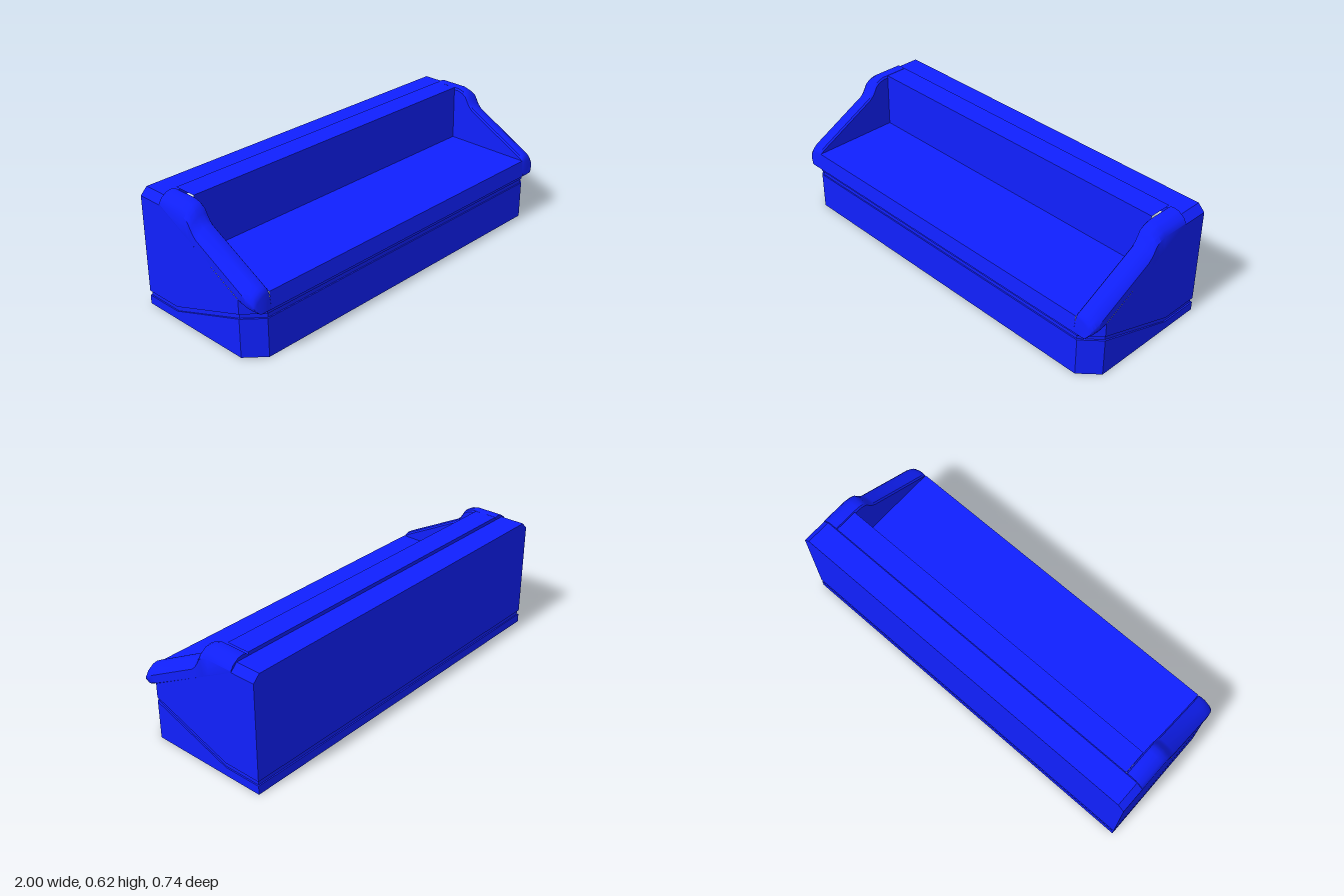
import * as THREE from 'three';
import { toCreasedNormals } from 'three/addons/utils/BufferGeometryUtils.js';

const material = new THREE.MeshStandardMaterial({ color: 0x1020ff });

// Skin a series of equal-length closed rings; rings run counterclockwise about the travel direction
function loft(rings, capStart, capEnd, crease) {
  const n = rings[0].length;
  const index = [];
  for (let i = 0; i < rings.length - 1; i++) {
    for (let j = 0; j < n; j++) {
      const k = (j + 1) % n;
      const a = i * n + j, b = i * n + k, c = b + n, d = a + n;
      index.push(a, b, c, a, c, d);
    }
  }
  const last = (rings.length - 1) * n;
  for (let j = 1; j < n - 1; j++) {
    if (capStart) index.push(0, j + 1, j);
    if (capEnd) index.push(last, last + j, last + j + 1);
  }
  const geometry = new THREE.BufferGeometry();
  geometry.setAttribute('position', new THREE.Float32BufferAttribute(rings.flat(2), 3));
  geometry.setIndex(index);
  return toCreasedNormals(geometry, crease);
}

function addPart(group, name, geometry) {
  const mesh = new THREE.Mesh(geometry, material);
  mesh.name = name;
  group.add(mesh);
}

// Body: footprint with chamfered front corners, cut by a groove that slopes down toward the back
function bodyGeometry() {
  // x, z, groove bottom height, top height
  const half = [
    [0.91, 0.356, 0.198, 0.285],
    [1, 0.272, 0.198, 0.296],
    [1, -0.165, 0.045, 0.528],
    [1, -0.235, 0.045, 0.565],
    [1, -0.367, 0.045, 0.565],
  ];
  const outline = [...half, ...half.map(([x, ...r]) => [-x, ...r]).reverse()];
  const ring = (height, inset) => outline.map((p) =>
    inset ? [p[0] * 0.993, height(p), p[1] * 0.982] : [p[0], height(p), p[1]]);
  const low = (p) => p[2];
  const high = (p) => p[2] + 0.024;
  return loft([
    ring(() => 0, false), ring(low, false), ring(low, true),
    ring(high, true), ring(high, false), ring((p) => p[3], false),
  ], true, false, 0.1);
}

// Rim stations along one side: z, lower edge, top edge, outer x, x of the underside edge
const rimStations = [
  [-0.235, 0.565, 0.62, 1, 1],
  [-0.09, 0.488, 0.62, 1, 1],
  [-0.06, 0.472, 0.612, 1, 1],
  [-0.037, 0.46, 0.597, 1, 1],
  [-0.022, 0.452, 0.57, 1, 1],
  [-0.008, 0.445, 0.549, 1, 1],
  [0.012, 0.434, 0.53, 1, 1],
  [0.275, 0.296, 0.39, 1, 1],
  [0.3, 0.284, 0.377, 1, 0.995],
  [0.317, 0.264, 0.368, 1, 0.975],
  [0.335, 0.252, 0.358, 0.997, 0.96],
  [0.348, 0.248, 0.35, 0.993, 0.955],
  [0.358, 0.246, 0.338, 0.988, 0.95],
  [0.361, 0.245, 0.325, 0.985, 0.95],
  [0.37, 0.245, 0.256, 0.965, 0.95],
];

function rimGeometry(side) {
  const rings = rimStations.map(([z, low, top, outer, under]) => {
    const y = (drop) => Math.max(low + 0.006, top - drop);
    const round = Math.min(0.035, Math.max(0.004, outer - under));
    const shoulder = Math.max(low + 0.004, Math.min(low + round, top - 0.05));
    const ring = [
      [0.9, Math.min(low, 0.3), z],
      [under, low, z],
      [outer - (outer - under) * 0.3, low + (shoulder - low) * 0.4, z],
      [outer, shoulder, z],
      [outer, Math.max(shoulder, y(0.05)), z],
      [outer - 0.015, Math.max(shoulder, y(0.026)), z],
      [outer - 0.045, y(0.005), z],
      [0.925, y(0), z],
      [0.907, y(0.005), z],
      [0.9, y(0.015), z],
    ].map(([px, py, pz]) => [px * side, py, pz]);
    return side > 0 ? ring : ring.reverse();
  });
  return loft(rings, true, true, 0.6);
}

export function createModel() {
  const group = new THREE.Group();
  group.name = 'openTray';

  addPart(group, 'body', bodyGeometry());

  // Tray: back wall, floor and front lip in one profile (z, y) across the width
  const profile = [
    [-0.235, 0.618], [-0.114, 0.618], [-0.11, 0.33],
    [0.36, 0.33], [0.37, 0.245], [0.3, 0.245], [-0.235, 0.25],
  ];
  addPart(group, 'tray', loft([-0.9, 0.9].map((x) =>
    profile.map(([z, y]) => [x, y, z])), false, false, 0.1));

  // Back ledge with chamfered ends
  const ledge = [[-1, 0.565], [1, 0.565], [0.965, 0.6], [-0.965, 0.6]];
  addPart(group, 'backLedge', loft([-0.367, -0.235].map((z) =>
    ledge.map(([x, y]) => [x, y, z])), true, true, 0.1));

  // Rounded side rims
  addPart(group, 'leftRim', rimGeometry(1));
  addPart(group, 'rightRim', rimGeometry(-1));

  return group;
}
